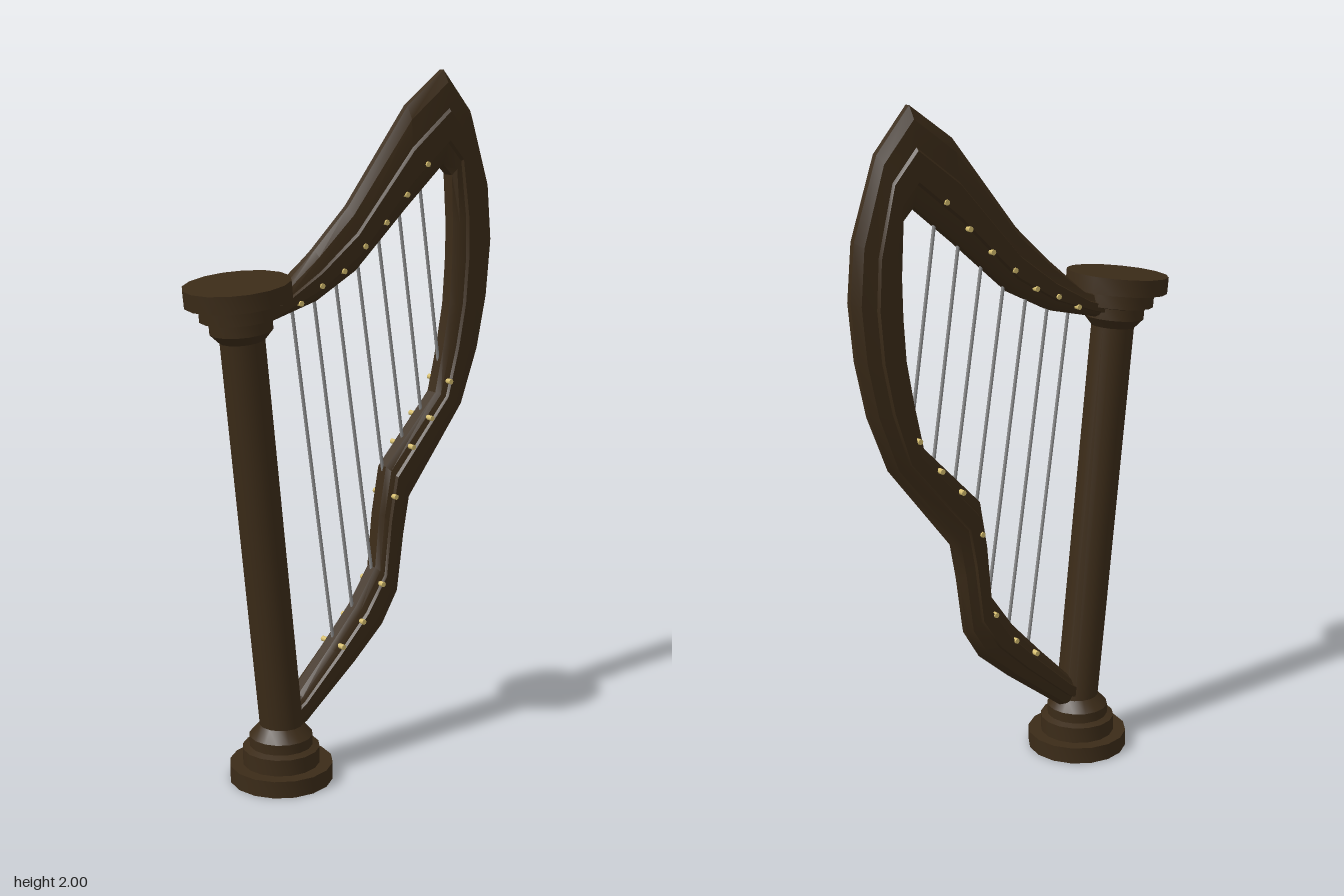
import * as THREE from 'three';
import { toCreasedNormals, mergeVertices } from 'three/addons/utils/BufferGeometryUtils.js';

const wood = new THREE.MeshStandardMaterial({ color: 0x3b2b18 });
const brass = new THREE.MeshStandardMaterial({ color: 0xd8c070 });
const steel = new THREE.MeshStandardMaterial({ color: 0x8a8a8a });

function mesh(name, geometry, material) {
  const m = new THREE.Mesh(geometry, material);
  m.name = name;
  return m;
}

// Turned part from [radius, height] points, listed bottom to top
function turned(points) {
  const profile = points.map(([r, y]) => new THREE.Vector2(r, y));
  return toCreasedNormals(new THREE.LatheGeometry(profile, 16, Math.PI / 2), 0.5);
}

// Straight rod between two points
function rod(name, a, b, radius, sides, material) {
  const dir = b.clone().sub(a);
  const m = mesh(name, new THREE.CylinderGeometry(radius, radius, dir.length(), sides), material);
  m.position.copy(a).add(b).multiplyScalar(0.5);
  m.quaternion.setFromUnitVectors(new THREE.Vector3(0, 1, 0), dir.normalize());
  return m;
}

// Frame stations: outer x, y then inner x, y, from the neck round to the foot
const stations = [
  [-0.29, 1.42, -0.33, 1.34], [-0.24, 1.44, -0.27, 1.355], [-0.13, 1.53, -0.13, 1.39],
  [-0.01, 1.64, 0.01, 1.46], [0.205, 1.905, 0.195, 1.62], [0.34, 2.0, 0.335, 1.735],
  [0.445, 1.88, 0.37, 1.70], [0.52, 1.66, 0.377, 1.55], [0.535, 1.5, 0.375, 1.44],
  [0.52, 1.34, 0.367, 1.32], [0.485, 1.18, 0.345, 1.2], [0.42, 1.015, 0.315, 1.065],
  [0.215, 0.755, 0.125, 0.87], [0.195, 0.65, 0.1, 0.73], [0.17, 0.475, 0.085, 0.57],
  [0.115, 0.385, 0.01, 0.465], [0.01, 0.295, -0.09, 0.36], [-0.18, 0.15, -0.2, 0.25],
  [-0.23, 0.13, -0.24, 0.22],
];

// Half section: share of the way from outer to inner edge, and half thickness
const half = [[0, 0.008], [0.13, 0.029], [0.4, 0.036], [0.43, 0.045],
  [0.74, 0.045], [0.77, 0.036], [0.9, 0.03], [1, 0.016]];

function frameGeometry() {
  const section = [...half, ...half.map(([t, z]) => [t, -z]).reverse()];
  const n = section.length;
  const position = [];
  const index = [];
  for (const [ox, oy, ix, iy] of stations) {
    for (const [t, z] of section) position.push(ox + (ix - ox) * t, oy + (iy - oy) * t, z);
  }
  for (let s = 0; s < stations.length - 1; s++) {
    for (let k = 0; k < n; k++) {
      const a = s * n + k, b = s * n + (k + 1) % n;
      index.push(a, b, a + n, b, b + n, a + n);
    }
  }
  // End caps
  const last = (stations.length - 1) * n;
  for (let k = 1; k < n - 1; k++) {
    index.push(0, k + 1, k, last, last + k, last + k + 1);
  }
  const g = new THREE.BufferGeometry();
  g.setAttribute('position', new THREE.Float32BufferAttribute(position, 3));
  g.setIndex(index);
  return toCreasedNormals(mergeVertices(g), 0.5);
}

export function createModel() {
  const harp = new THREE.Group();
  harp.name = 'harp';

  // Stepped foot
  const base = mesh('base', turned([
    [0, 0], [0.15, 0], [0.15, 0.05], [0.112, 0.05], [0.112, 0.098],
    [0.092, 0.105], [0.092, 0.135], [0.062, 0.168], [0, 0.168],
  ]), wood);
  base.position.x = -0.255;
  harp.add(base);

  // Leaning pillar with its capital
  const pillar = new THREE.Group();
  pillar.name = 'pillar';
  pillar.position.set(-0.245, 0.08, 0);
  pillar.rotation.z = 0.104;
  pillar.add(mesh('column', turned([[0, 0], [0.063, 0], [0.063, 1.27], [0, 1.27]]), wood));
  pillar.add(mesh('capital', turned([
    [0, 1.235], [0.064, 1.235], [0.088, 1.262], [0.088, 1.295], [0.112, 1.3],
    [0.112, 1.343], [0.149, 1.343], [0.149, 1.392], [0, 1.392],
  ]), wood));
  harp.add(pillar);

  // Curved neck, shoulder and sound arm in one sweep
  harp.add(mesh('curvedFrame', frameGeometry(), wood));

  // Strings with a pin through the frame at each end: top x, y, bottom x, y
  const strings = [
    [-0.207, 1.395, -0.06, 0.365], [-0.133, 1.435, 0.016, 0.425], [-0.055, 1.468, 0.09, 0.525],
    [0.021, 1.53, 0.138, 0.783], [0.098, 1.59, 0.204, 0.922], [0.174, 1.662, 0.275, 0.998],
    [0.25, 1.742, 0.348, 1.098],
  ];
  const pin = new THREE.CylinderGeometry(0.008, 0.008, 0.1, 8).rotateX(Math.PI / 2);
  strings.forEach(([tx, ty, bx, by], i) => {
    const top = new THREE.Vector3(tx, ty, 0);
    const bottom = new THREE.Vector3(bx, by, 0);
    harp.add(rod(`string${i + 1}`, bottom, top, 0.005, 6, steel));
    for (const [name, p] of [['tuningPin', top], ['lowerPin', bottom]]) {
      const m = mesh(`${name}${i + 1}`, pin, brass);
      m.position.copy(p);
      harp.add(m);
    }
  });

  return harp;
}
